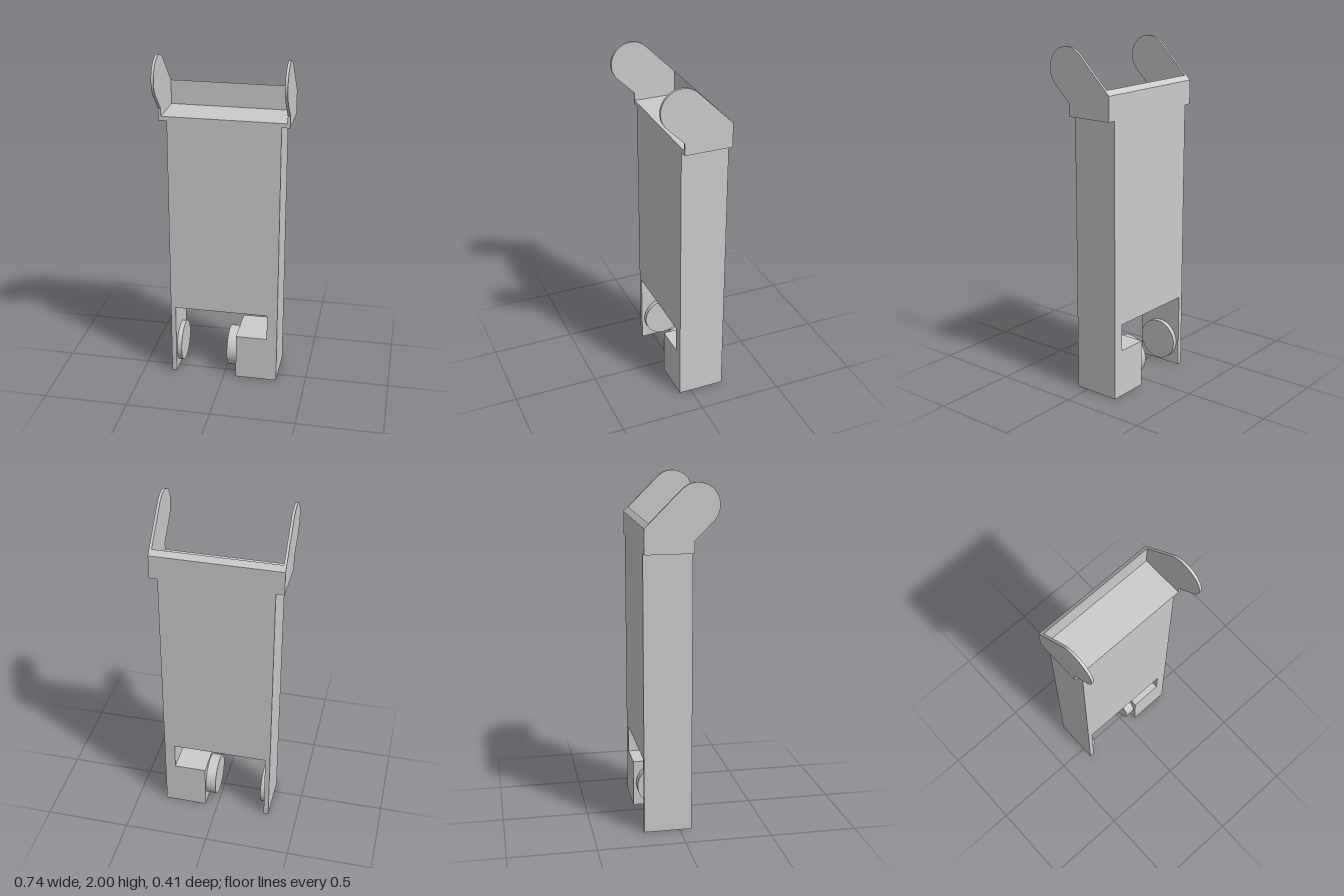
import * as THREE from 'three';
import { toCreasedNormals } from 'three/addons/utils/BufferGeometryUtils.js';

const FRONT = 0.07, BACK = -0.207;
const material = new THREE.MeshStandardMaterial({ color: 0xcccccc });

function add(group, name, geometry) {
  const mesh = new THREE.Mesh(geometry, material);
  mesh.name = name;
  group.add(mesh);
  return mesh;
}

function shapeOf(points) {
  return new THREE.Shape(points.map(([a, b]) => new THREE.Vector2(a, b)));
}

function extrude(shape, depth) {
  return new THREE.ExtrudeGeometry(shape, { depth, bevelEnabled: false, curveSegments: 32 });
}

// Extrudes a (z, y) profile along x, from x0 to x1
function extrudeAcross(shape, x0, x1) {
  const geometry = extrude(shape, x1 - x0).rotateY(-Math.PI / 2).translate(x1, 0, 0);
  return toCreasedNormals(geometry, 0.5);
}

export function createModel() {
  const model = new THREE.Group();
  model.name = 'model';

  // Body with a stepped opening between a thin leg and a block foot
  const body = shapeOf([
    [-0.325, 0], [-0.296, 0], [-0.296, 0.44], [0.263, 0.44], [0.263, 0.28],
    [0.075, 0.28], [0.075, 0], [0.325, 0], [0.325, 1.62], [-0.325, 1.62],
  ]);
  add(model, 'body', extrude(body, FRONT - BACK).translate(0, 0, BACK));

  // Round pads facing each other in the opening
  const pads = [['thinLegPad', -0.296, -0.268], ['blockFootPad', 0.015, 0.075]];
  for (const [name, x0, x1] of pads) {
    const pad = new THREE.CylinderGeometry(0.122, 0.122, x1 - x0, 64).rotateZ(Math.PI / 2);
    add(model, name, pad).position.set((x0 + x1) / 2, 0.142, (FRONT + BACK) / 2);
  }

  // Tray: floor and back wall with a sloping top edge
  const tray = shapeOf([
    [FRONT, 1.62], [FRONT, 1.645], [-0.18, 1.645], [-0.18, 1.787], [BACK, 1.76], [BACK, 1.62],
  ]);
  add(model, 'tray', extrudeAcross(tray, -0.357, 0.357));

  // Side plates with forward-leaning rounded ears
  const ear = new THREE.Shape();
  ear.moveTo(BACK, 1.62);
  ear.lineTo(FRONT, 1.62);
  ear.lineTo(FRONT, 1.69);
  ear.absarc(0.0845, 1.8775, 0.1225, -Math.PI / 4, Math.PI * 0.75, false);
  ear.lineTo(BACK, 1.76);
  ear.closePath();
  add(model, 'leftEar', extrudeAcross(ear, 0.357, 0.372));
  add(model, 'rightEar', extrudeAcross(ear, -0.372, -0.357));

  return model;
}
